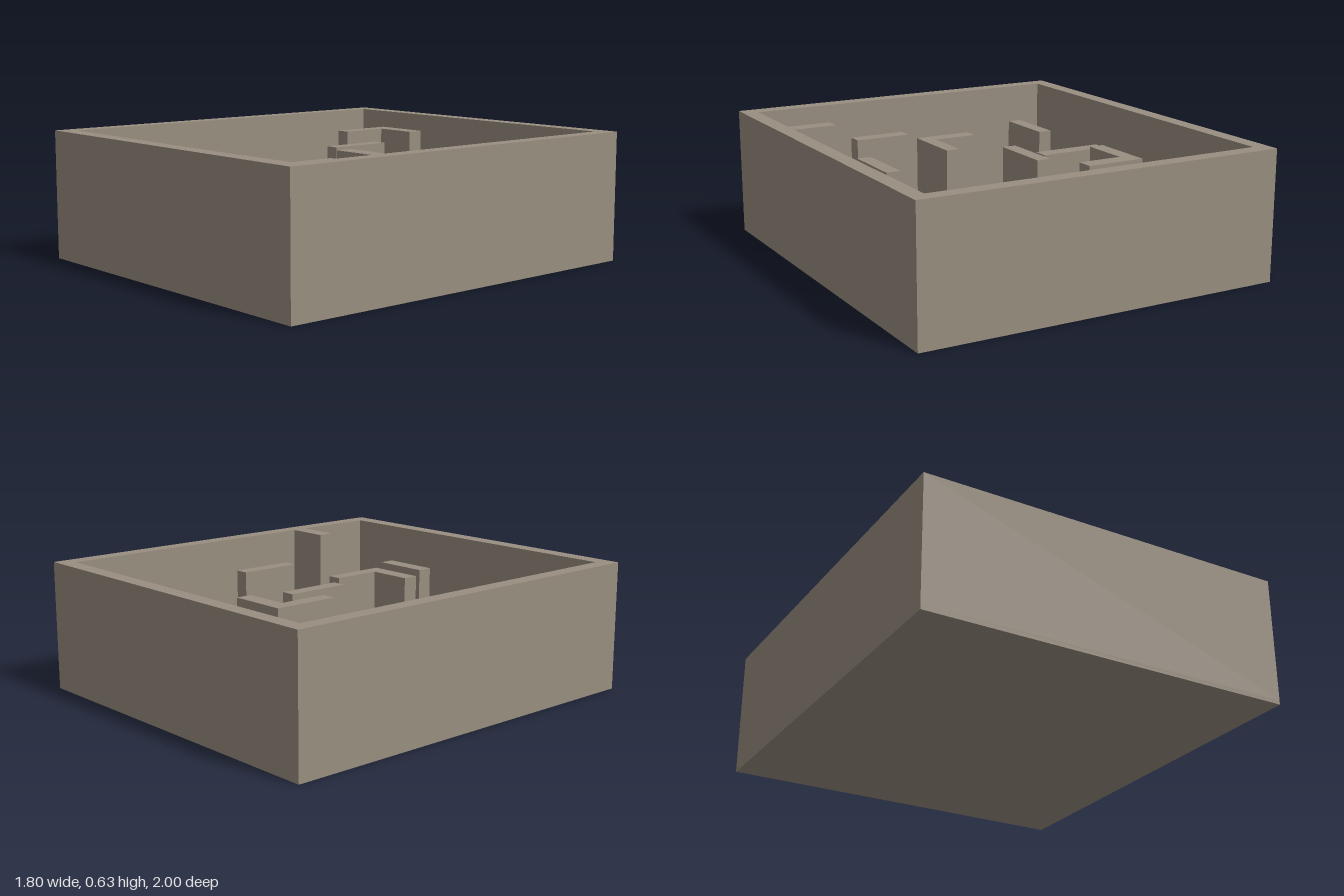
import * as THREE from 'three';

const FLOOR = 0.022;
const TOP = 0.626;

// Corners of an axis-aligned rectangle on the ground plane
const rect = (x0, x1, z0, z1) => [[x0, z0], [x1, z0], [x1, z1], [x0, z1]];

export function createModel() {
  const model = new THREE.Group();
  const stone = new THREE.MeshStandardMaterial({ color: 0x998e80 });
  stone.name = 'warm grey stone';

  // Upright prism over a ground plan of [x, z] points
  const addPrism = (name, plan, bottom, top, hole) => {
    const toVectors = (pts) => pts.map(([x, z]) => new THREE.Vector2(x, z));
    const shape = new THREE.Shape(toVectors(plan));
    if (hole) shape.holes.push(new THREE.Path(toVectors(hole)));
    const geometry = new THREE.ExtrudeGeometry(shape, { depth: top - bottom, bevelEnabled: false });
    geometry.rotateX(Math.PI / 2).translate(0, top, 0);
    const mesh = new THREE.Mesh(geometry, stone);
    mesh.name = name;
    model.add(mesh);
  };

  // Floor slab
  addPrism('floor', rect(-0.9, 0.9, -1, 1), 0, FLOOR);

  // Outer walls, with a full-height stub reaching in from the +x side
  addPrism('outerWalls', rect(-0.9, 0.9, -1, 1), FLOOR, TOP, [
    [-0.825, -0.925], [0.825, -0.925], [0.825, 0.436], [0.61, 0.436],
    [0.61, 0.513], [0.825, 0.513], [0.825, 0.922], [-0.825, 0.922],
  ]);

  // Free-standing inner walls: name, ground plan, top height
  const innerWalls = [
    ['backCornerWall', [[-0.395, -0.682], [-0.11, -0.682], [-0.11, -0.603],
      [-0.325, -0.603], [-0.325, -0.365], [-0.395, -0.365]], 0.573],
    ['frontCornerWall', [[0.108, 0.116], [0.177, 0.116], [0.177, 0.434],
      [-0.108, 0.434], [-0.108, 0.357], [0.108, 0.357]], 0.515],
    ['centreWall', rect(-0.108, -0.04, -0.362, -0.045), 0.54],
    ['backLeftWall', rect(0.393, 0.46, -0.762, -0.524), 0.38],
    ['leftWall', rect(0.54, 0.61, -0.122, 0.196), 0.51],
    ['rightWall', rect(-0.682, -0.325, 0.037, 0.116), 0.45],
    ['frontRightWall', rect(-0.61, -0.541, 0.436, 0.754), 0.47],
    ['frontLeftWall', rect(0.108, 0.393, 0.677, 0.754), 0.48],
  ];
  for (const [name, plan, top] of innerWalls) addPrism(name, plan, FLOOR, top);

  return model;
}
